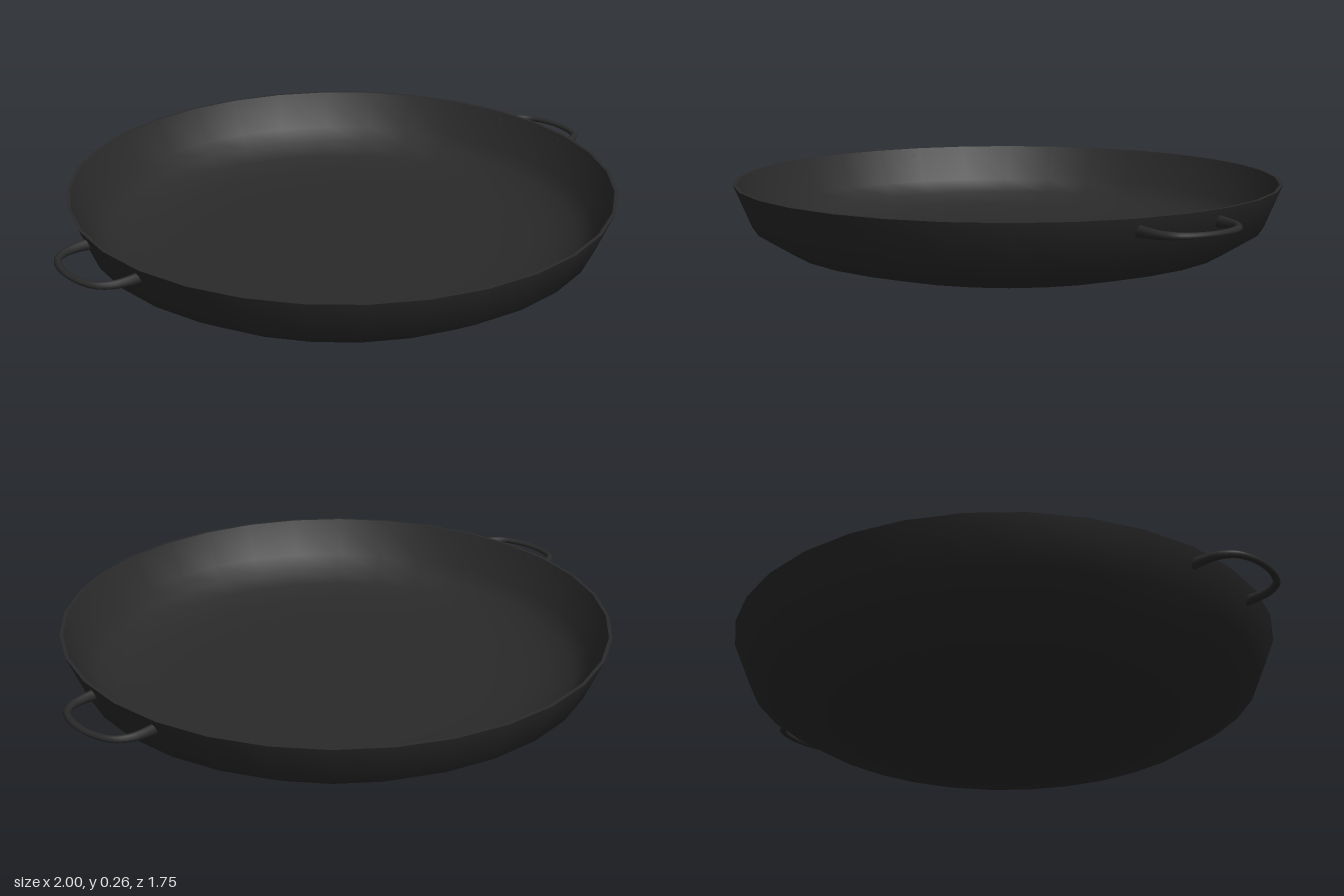
import * as THREE from 'three';

const SIDES = 32;

function lathe(name, points, material) {
  const geometry = new THREE.LatheGeometry(points.map(([r, y]) => new THREE.Vector2(r, y)), SIDES);
  const mesh = new THREE.Mesh(geometry, material);
  mesh.name = name;
  return mesh;
}

// Looped rod, slim at the middle and taller where it meets the wall
function handleGeometry() {
  const half = [[0.837, -0.143], [0.88, -0.143], [0.922, -0.136], [0.96, -0.11], [0.981, -0.064]];
  const points = [...half, [0.989, 0], ...half.map(([x, z]) => [x, -z]).reverse()];
  const path = new THREE.CatmullRomCurve3(points.map(([x, z]) => new THREE.Vector3(x, 0, z)));
  const geometry = new THREE.TubeGeometry(path, 32, 0.0115, 10, false);
  const pos = geometry.attributes.position;
  const uv = geometry.attributes.uv;
  for (let i = 0; i < pos.count; i++) {
    const end = Math.abs(uv.getX(i) * 2 - 1);
    pos.setY(i, pos.getY(i) * (0.72 + 0.95 * end ** 2));
  }
  geometry.computeBoundingSphere();
  return geometry;
}

export function createModel() {
  const pan = new THREE.Group();
  pan.name = 'pan';
  const iron = new THREE.MeshStandardMaterial({ color: 0x2a2a2a });
  iron.name = 'dark iron';

  // Bowl: outside, thin lip and inside, kept apart so the lip stays crisp
  pan.add(lathe('outerBowl', [
    [0, 0], [0.35, 0], [0.55, 0.016], [0.71, 0.058], [0.818, 0.126], [0.874, 0.262],
  ], iron));
  pan.add(lathe('lip', [[0.874, 0.262], [0.863, 0.262]], iron));
  pan.add(lathe('innerBowl', [
    [0.863, 0.262], [0.812, 0.142], [0.765, 0.1], [0.705, 0.067], [0.62, 0.046], [0.5, 0.036],
    [0.3, 0.033], [0, 0.033],
  ], iron));

  // Pair of side handles
  const rod = handleGeometry();
  for (const [name, turn] of [['leftHandle', 0], ['rightHandle', Math.PI]]) {
    const handle = new THREE.Mesh(rod, iron);
    handle.name = name;
    handle.position.y = 0.224;
    handle.rotation.y = turn;
    pan.add(handle);
  }
  return pan;
}
